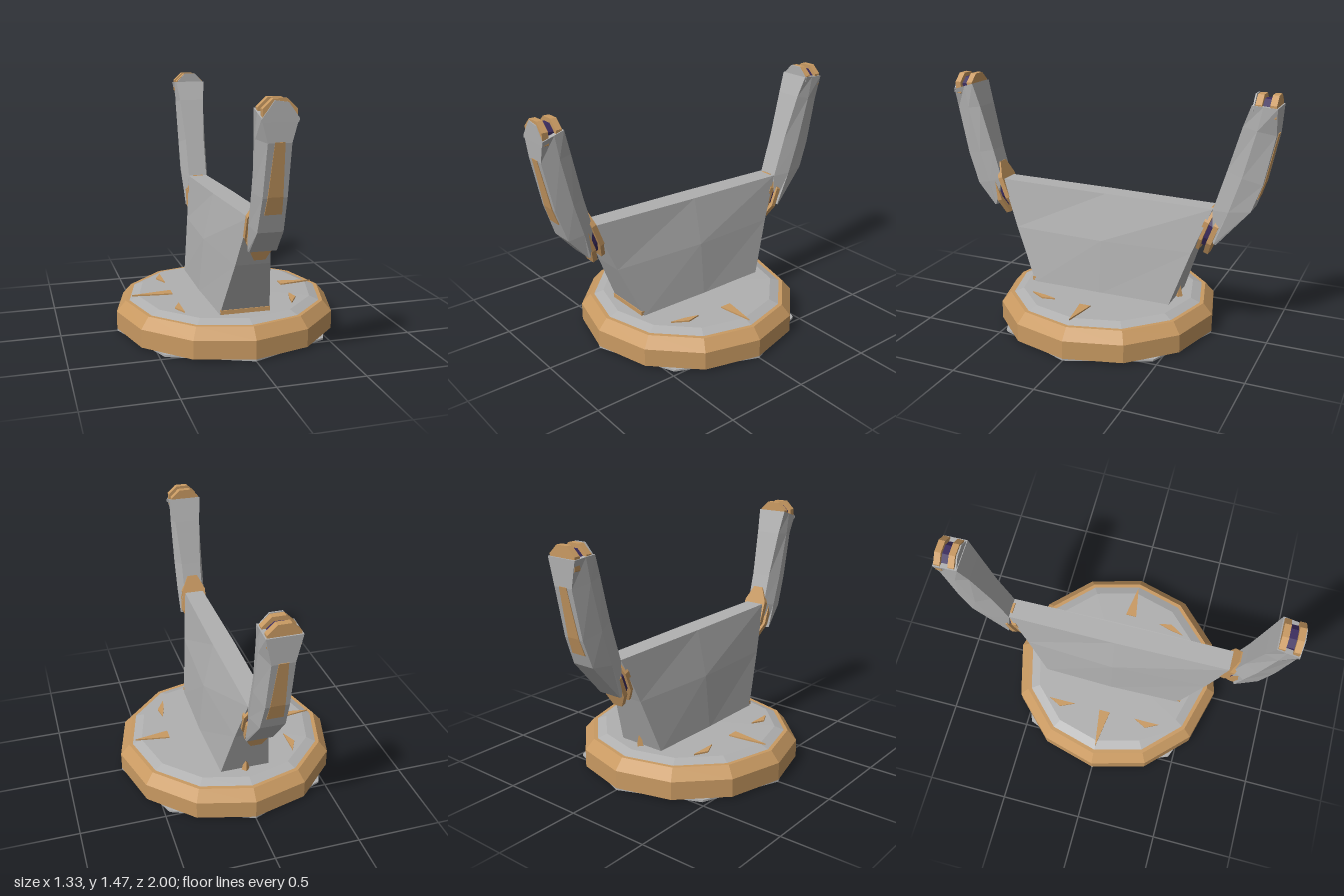
import * as THREE from 'three';

const mat = (name, color, side = THREE.FrontSide) =>
  Object.assign(new THREE.MeshStandardMaterial({ color, flatShading: true, side }), { name });

// Closed skin over rings of equal size, bottom to top, each counter-clockwise from above
function loft(rings) {
  const n = rings[0].length, idx = [], last = (rings.length - 1) * n;
  for (let i = 0; i < rings.length - 1; i++)
    for (let j = 0; j < n; j++) {
      const k = (j + 1) % n, a = i * n + j, b = i * n + k;
      idx.push(a, b, b + n, a, b + n, a + n);
    }
  for (let j = 1; j < n - 1; j++) idx.push(last, last + j, last + j + 1, 0, j + 1, j);
  const g = new THREE.BufferGeometry();
  g.setAttribute('position', new THREE.Float32BufferAttribute(rings.flat(2), 3));
  g.setIndex(idx);
  const flat = g.toNonIndexed();
  flat.computeVertexNormals();
  return flat;
}

// Thin plate from a 2D outline
function plate(points, depth) {
  const shape = new THREE.Shape(points.map(p => new THREE.Vector2(...p)));
  return new THREE.ExtrudeGeometry(shape, { depth, bevelEnabled: false });
}

export function createModel() {
  const model = new THREE.Group();
  const grey = mat('stone grey', 0xb0b0b0);
  const tan = mat('warm tan', 0xc99a62);
  const purple = mat('dark purple', 0x3b2c5e);
  const add = (parent, name, geo, material, x = 0, y = 0, z = 0) => {
    const m = new THREE.Mesh(geo, material);
    m.name = name;
    m.position.set(x, y, z);
    parent.add(m);
    return m;
  };
  const lathe = pts => new THREE.LatheGeometry(pts.map(p => new THREE.Vector2(...p)), 12);

  // Round base
  add(model, 'underside', new THREE.CylinderGeometry(0.665, 0.665, 0.012, 8), grey, 0, 0.006);
  add(model, 'baseRim', lathe([[0, 0.012], [0.665, 0.012], [0.665, 0.12], [0.61, 0.183], [0, 0.183]]), tan);
  add(model, 'baseTop', lathe([[0.6, 0.178], [0.53, 0.204], [0, 0.212]]), grey);

  // Inlaid marks on the base
  const marks = [
    [[-0.57, 0], [-0.33, -0.035], [-0.33, 0.035]],
    [[0.57, 0], [0.36, 0.035], [0.36, -0.035]],
    [[-0.33, -0.37], [-0.33, -0.2], [-0.37, -0.29]],
    [[-0.33, 0.2], [-0.33, 0.36], [-0.37, 0.28]],
    [[0.35, 0.2], [0.365, 0.28], [0.31, 0.37], [0.325, 0.28]],
  ];
  for (const pts of marks)
    add(model, 'baseMark', plate(pts, 0.009).rotateX(Math.PI / 2), tan, 0, 0.214);

  // Flared central body: [half width at ends, in middle, front y, front z, back y, back z]
  const bodyRings = [
    [0.148, 0.16, 0.2, 0.44, 0.2, -0.44],
    [0.1, 0.128, 0.53, 0.585, 0.53, -0.555],
    [0.06, 0.066, 0.82, 0.7, 0.795, -0.66],
  ].map(([e, m, fy, fz, by, bz]) => {
    const my = (fy + by) / 2;
    return [[e, fy, fz], [m, my, 0], [e, by, bz], [-e, by, bz], [-m, my, 0], [-e, fy, fz]];
  });
  add(model, 'body', loft(bodyRings), grey);
  add(model, 'bodyFootStrip', new THREE.BoxGeometry(0.29, 0.025, 0.02), tan, 0, 0.222, 0.45);
  add(model, 'backSpike', new THREE.ConeGeometry(0.025, 0.12, 4), tan, 0, 0.26, -0.455);

  // Two faceted discs with a smaller core between them, facing z
  const disc = (hx, hy, t) =>
    new THREE.CylinderGeometry(1, 1, t, 8).rotateY(Math.PI / 8).rotateX(Math.PI / 2).scale(hx, hy, 1);
  function coupling(parent, name, hx, hy, gap, t, y, z, tilt) {
    const g = new THREE.Group();
    g.name = name;
    g.position.set(0, y, z);
    g.rotation.x = tilt;
    for (const s of [-1, 1]) add(g, 'couplingDisc', disc(hx, hy, t), tan, 0, 0, s * gap);
    add(g, 'couplingCore', disc(hx * 0.75, hy * 0.72, gap * 2), purple);
    parent.add(g);
  }

  // Arm, built leaning to +z: [inner z, y, outer z, y, half widths inner, middle, outer]
  function arm(name, stations, joint) {
    const g = new THREE.Group();
    g.name = name;
    add(g, 'armShell', loft(stations.map(([iz, iy, oz, oy, a, b, c]) => {
      const mz = iz * 0.55 + oz * 0.45, my = iy * 0.55 + oy * 0.45;
      return [[c, oy, oz], [b, my, mz], [a, iy, iz], [-a, iy, iz], [-b, my, mz], [-c, oy, oz]];
    })), grey);
    // Inset panel following the bend of the outer face
    const panel = [[0.046, 0.88, 0.906], [0.04, 0.975, 0.938], [0.026, 1.255, 0.996]];
    add(g, 'armPanel', loft(panel.map(([w, y, z]) =>
      [[w, y, z + 0.004], [w, y, z - 0.004], [-w, y, z - 0.004], [-w, y, z + 0.004]])), tan);
    coupling(g, 'topCoupling', 0.095, 0.09, 0.04, 0.036, 1.38, 0.935, 0);
    coupling(g, 'lowerCoupling', 0.083, joint.size, 0.03, 0.03, joint.y, joint.z, 0.36);
    model.add(g);
    return g;
  }

  const front = arm('frontArm', [
    [0.735, 0.655, 0.755, 0.65, 0.065, 0.082, 0.075],
    [0.71, 0.82, 0.87, 0.78, 0.06, 0.09, 0.07],
    [0.76, 1.0, 0.935, 0.97, 0.062, 0.093, 0.065],
    [0.83, 1.27, 0.996, 1.25, 0.08, 0.095, 0.062],
    [0.87, 1.41, 0.998, 1.37, 0.095, 0.095, 0.095],
  ], { y: 0.755, z: 0.715, size: 0.175 });
  add(front, 'frontCrest',
    plate([[-0.095, 1.35], [0.095, 1.35], [0.095, 1.37], [0.04, 1.445], [-0.03, 1.455], [-0.095, 1.365]], 0.006),
    grey, 0, 0, 0.994);

  const back = arm('backArm', [
    [0.67, 0.6, 0.69, 0.59, 0.065, 0.08, 0.075],
    [0.66, 0.79, 0.88, 0.81, 0.06, 0.09, 0.07],
    [0.735, 1.03, 0.938, 0.97, 0.062, 0.093, 0.065],
    [0.815, 1.29, 0.996, 1.25, 0.08, 0.095, 0.062],
    [0.86, 1.41, 1.0, 1.4, 0.095, 0.095, 0.095],
  ], { y: 0.655, z: 0.64, size: 0.15 });
  add(back, 'backCrest',
    plate([[-0.095, 1.38], [0.095, 1.38], [0.095, 1.4], [0.035, 1.465], [-0.035, 1.465], [-0.095, 1.4]], 0.008),
    grey, 0, 0, 0.864);
  back.rotation.y = Math.PI;

  return model;
}
